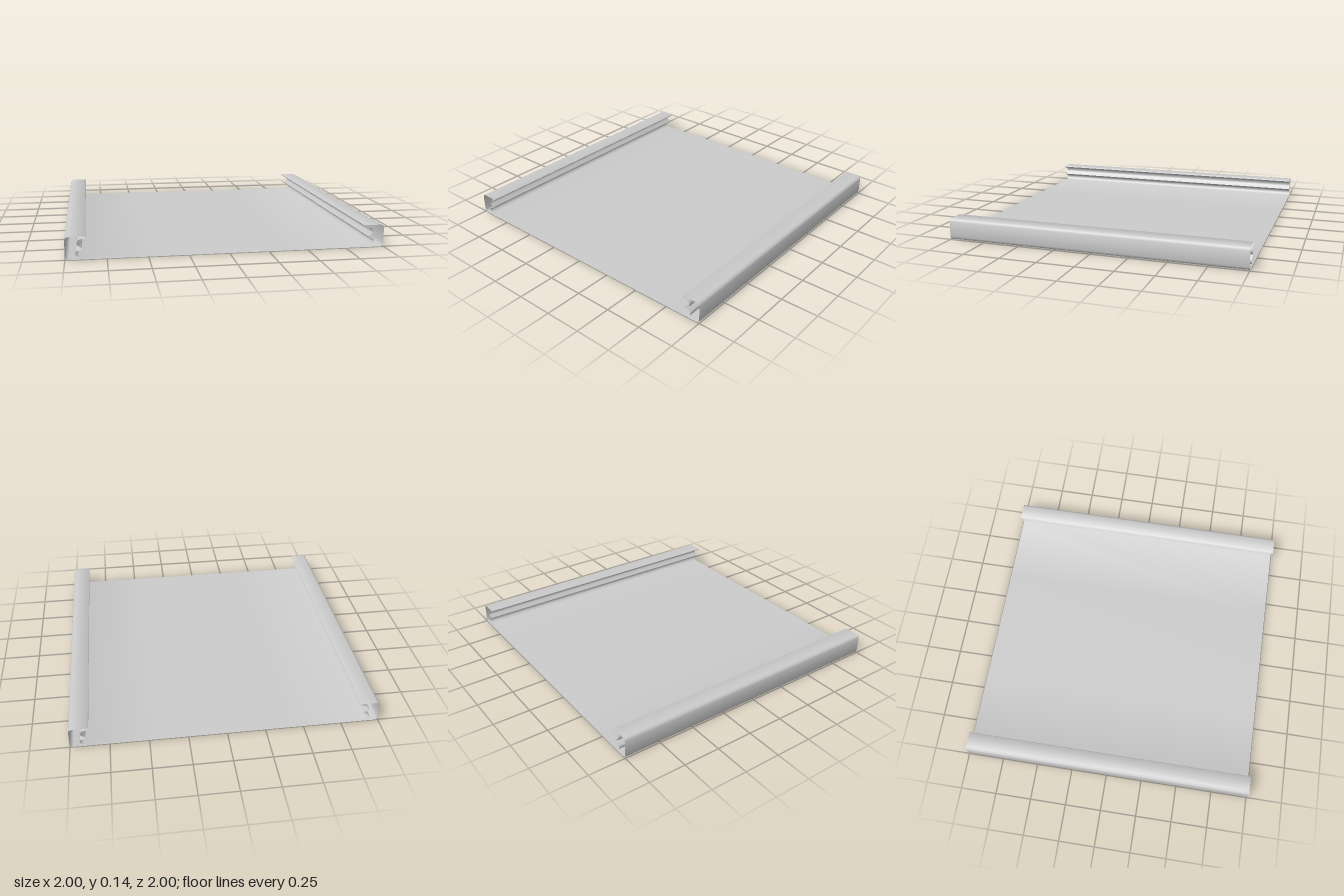
import * as THREE from 'three';

// Half cross-section (x, y), running anticlockwise: underside, edge rail, upper face
const underside = [[0, 0], [0.42, 0], [0.98, 0]];
const rail = [
  [0.994, 0.006], [1, 0.022],                                  // rounded bottom corner
  [1, 0.122], [0.994, 0.136], [0.978, 0.143],                  // wall and rounded top corner
  [0.878, 0.143], [0.874, 0.138], [0.878, 0.132],              // flange with a blunt lip
  [0.918, 0.122], [0.928, 0.105], [0.926, 0.088],              // groove under the flange
  [0.903, 0.076], [0.899, 0.068], [0.905, 0.061],              // small locking rib
  [0.932, 0.052], [0.937, 0.04], [0.933, 0.026],               // lower groove
];
const upperFace = [[0.915, 0.015], [0.42, 0.013], [0, 0.013]];

const CREASE = Math.cos(THREE.MathUtils.degToRad(65));

export function createModel() {
  const group = new THREE.Group();
  group.name = 'channelPanel';
  const material = new THREE.MeshStandardMaterial({ color: 0xcccccc, side: THREE.DoubleSide });

  // Closed loop: the half section followed by its mirror image
  const half = [...underside, ...rail, ...upperFace];
  const mirrored = half.slice(1, -1).reverse().map(([x, y]) => [-x, y]);
  const loop = [...half, ...mirrored].map(([x, y]) => new THREE.Vector2(x, y));
  const n = loop.length;
  const at = (list, i) => list[(i + n) % n];

  // Outward normal of each segment
  const faceNormals = loop.map((p, i) => {
    const d = at(loop, i + 1).clone().sub(p).normalize();
    return new THREE.Vector2(d.y, -d.x);
  });

  // Average with the neighbouring segment unless the corner is sharp
  const blend = (i, j) => {
    const a = at(faceNormals, i), b = at(faceNormals, j);
    return a.dot(b) < CREASE ? a : a.clone().add(b).normalize();
  };

  // Walls swept along z for a run of segments; the ends stay open
  const addSweep = (name, from, to) => {
    const positions = [], normals = [], indices = [];
    for (let i = from; i < to; i++) {
      const a = at(loop, i), b = at(loop, i + 1);
      const na = blend(i, i - 1), nb = blend(i, i + 1);
      const k = positions.length / 3;
      for (const [p, m, z] of [[a, na, 1], [b, nb, 1], [b, nb, -1], [a, na, -1]]) {
        positions.push(p.x, p.y, z);
        normals.push(m.x, m.y, 0);
      }
      indices.push(k, k + 3, k + 1, k + 1, k + 3, k + 2);
    }
    const geometry = new THREE.BufferGeometry();
    geometry.setAttribute('position', new THREE.Float32BufferAttribute(positions, 3));
    geometry.setAttribute('normal', new THREE.Float32BufferAttribute(normals, 3));
    geometry.setIndex(indices);
    const mesh = new THREE.Mesh(geometry, material);
    mesh.name = name;
    group.add(mesh);
  };

  const railStart = underside.length - 1;
  const railEnd = underside.length + rail.length;
  const top = half.length - 1;
  addSweep('leftRail', railStart, railEnd);
  addSweep('panelUpperFace', railEnd, 2 * top - railEnd);
  addSweep('rightRail', 2 * top - railEnd, 2 * top - railStart);
  addSweep('panelUnderside', 2 * top - railStart, n + railStart);
  return group;
}
